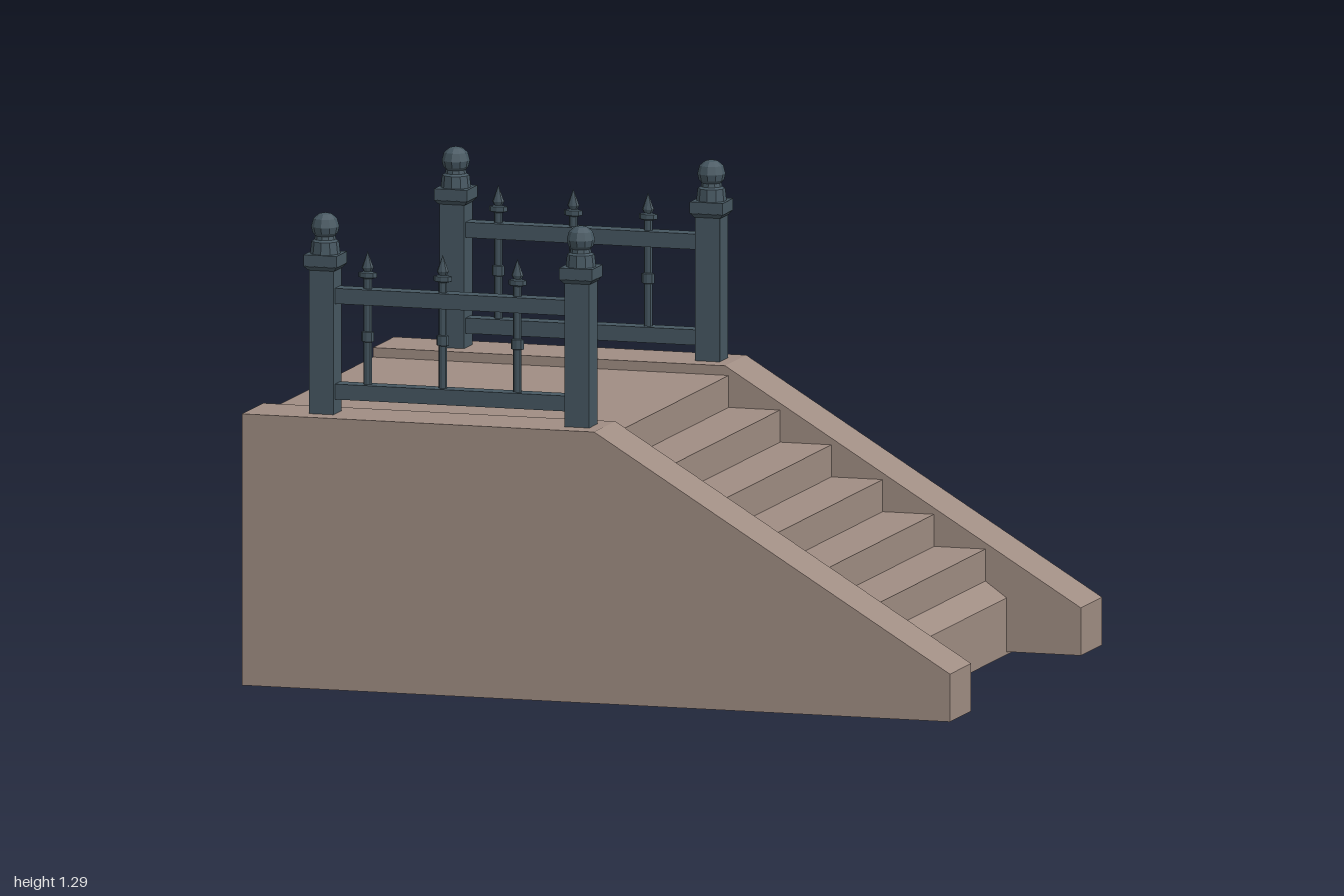
import * as THREE from 'three';

const stone = new THREE.MeshStandardMaterial({ color: 0xa08d83, side: THREE.DoubleSide });
stone.name = 'stone';
const iron = new THREE.MeshStandardMaterial({ color: 0x465761, flatShading: true });
iron.name = 'dark iron';

function add(parent, name, geometry, material, x = 0, y = 0, z = 0) {
  const mesh = new THREE.Mesh(geometry, material);
  mesh.name = name;
  mesh.position.set(x, y, z);
  parent.add(mesh);
  return mesh;
}

// Open sheet sweeping an x/y profile from z0 to z1
function sheet(profile, z0, z1) {
  const v = [];
  for (let i = 0; i < profile.length - 1; i++) {
    const [px, py] = profile[i], [qx, qy] = profile[i + 1];
    v.push(px, py, z0, px, py, z1, qx, qy, z1);
    v.push(px, py, z0, qx, qy, z1, qx, qy, z0);
  }
  const g = new THREE.BufferGeometry();
  g.setAttribute('position', new THREE.Float32BufferAttribute(v, 3));
  g.computeVertexNormals();
  return g;
}

// Hollow side wall, open at the back and underneath
function sideWall(side) {
  const wall = new THREE.Group();
  wall.name = 'sideWall';
  const inner = 0.485 * side, outer = 0.672 * side;
  const profile = [[-1, 0.748], [-0.005, 0.748], [1, 0.138], [1, 0.008]];
  add(wall, 'wallCoping', sheet(profile, Math.min(inner, outer), Math.max(inner, outer)), stone);
  const shape = new THREE.Shape([[-1, 0.008], ...profile].map(p => new THREE.Vector2(...p)));
  for (const [name, z, out] of [['outerFace', outer, side], ['innerFace', inner, -side]]) {
    const face = new THREE.ShapeGeometry(shape);
    if (out < 0) face.rotateY(Math.PI).scale(-1, 1, 1).index.array.reverse();
    face.computeVertexNormals();
    add(wall, name, face, stone, 0, 0, z);
  }
  return wall;
}

const lathe = (points, sides) =>
  new THREE.LatheGeometry(points.map(p => new THREE.Vector2(...p)), sides);

// Square newel post with a collar and a faceted ball finial
function post(x) {
  const g = new THREE.Group();
  g.name = 'post';
  g.position.x = x;
  add(g, 'postShaft', new THREE.BoxGeometry(0.07, 0.41, 0.072), iron, 0, 0.945, 0);
  const taper = new THREE.CylinderGeometry(0.066, 0.052, 0.012, 4).rotateY(Math.PI / 4);
  add(g, 'collarBase', taper, iron, 0, 1.145, 0);
  add(g, 'collar', new THREE.BoxGeometry(0.093, 0.032, 0.093), iron, 0, 1.166, 0);
  add(g, 'finial', lathe([
    [0.041, 1.18], [0.037, 1.215], [0.029, 1.22], [0.027, 1.23], [0.034, 1.238],
    [0.038, 1.255], [0.032, 1.277], [0.018, 1.289], [0, 1.293],
  ], 10), iron);
  return g;
}

// Flattened baluster with a middle knob and a spear tip
function baluster(x) {
  const profile = [
    [0.012, 0.82], [0.012, 0.945], [0.018, 0.947], [0.018, 0.973], [0.012, 0.975],
    [0.012, 1.118], [0.026, 1.122], [0.026, 1.135], [0.011, 1.138], [0.017, 1.148], [0, 1.193],
  ];
  const mesh = add(new THREE.Group(), 'baluster', lathe(profile, 8), iron, x);
  mesh.scale.z = 0.55;
  return mesh;
}

function railing(z) {
  const g = new THREE.Group();
  g.name = 'railing';
  g.position.z = z;
  for (const x of [-0.795, -0.073]) g.add(post(x));
  for (const y of [0.809, 1.07])
    add(g, 'rail', new THREE.BoxGeometry(0.66, 0.042, 0.048), iron, -0.434, y, 0);
  for (const x of [-0.675, -0.463, -0.252]) g.add(baluster(x));
  return g;
}

export function createModel() {
  const model = new THREE.Group();
  model.name = 'entranceSteps';

  // Landing and steps as one folded sheet
  const steps = [[-1, 0.722], [0.005, 0.722]];
  for (let i = 0; i < 5; i++) {
    const y = 0.635 - 0.0875 * i;
    steps.push([0.005 + 0.145 * i, y], [0.15 + 0.145 * i, y]);
  }
  steps.push([0.73, 0.198], [0.79, 0.155], [0.79, 0]);
  add(model, 'landingAndSteps', sheet(steps, -0.53, 0.53), stone);

  for (const side of [-1, 1]) {
    model.add(sideWall(side));
    model.add(railing(0.577 * side));
  }
  return model;
}
